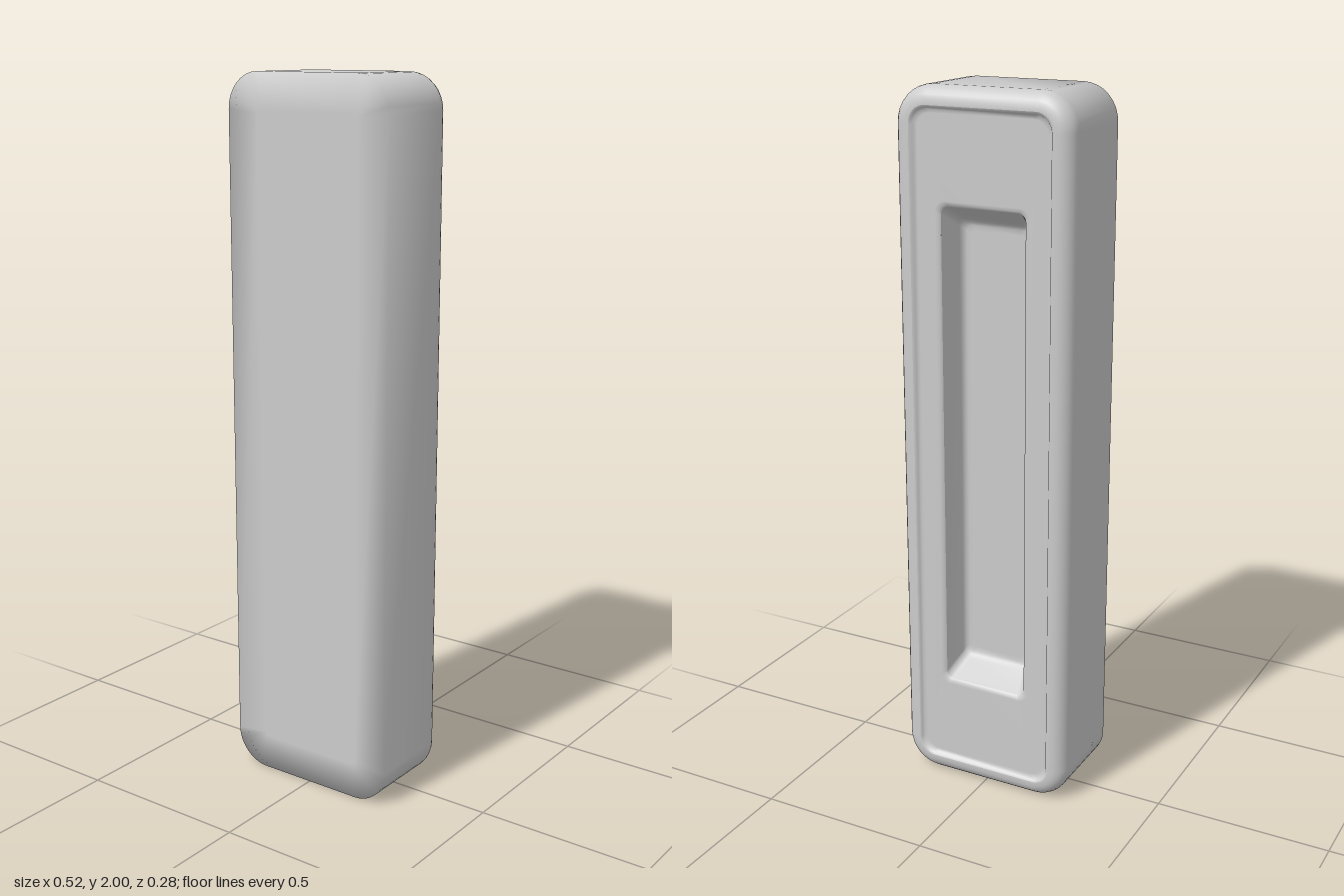
import * as THREE from 'three';

const material = new THREE.MeshStandardMaterial({ color: 0xcccccc });
const CORNER_STEPS = 8;

// Rounded rectangle loop, counter-clockwise seen from +z: half width, half height, corner radius, depth
function ring([hx, hy, r, z]) {
  const points = [];
  const centres = [[1, 1], [-1, 1], [-1, -1], [1, -1]];
  centres.forEach(([sx, sy], corner) => {
    for (let i = 0; i <= CORNER_STEPS; i++) {
      const a = (corner + i / CORNER_STEPS) * Math.PI / 2;
      points.push(sx * (hx - r) + r * Math.cos(a), 1 + sy * (hy - r) + r * Math.sin(a), z);
    }
  });
  return points;
}

// Skin a series of loops, optionally closing the first or last one with a flat cap
function loft(name, rings, capStart = false, capEnd = false) {
  const n = 4 * (CORNER_STEPS + 1);
  const positions = rings.flatMap(ring);
  const index = [];
  for (let k = 0; k < rings.length - 1; k++) {
    for (let i = 0; i < n; i++) {
      const j = (i + 1) % n;
      const a = k * n + i, b = k * n + j, c = a + n, d = b + n;
      index.push(a, c, d, a, d, b);
    }
  }
  const cap = (ringNumber, reversed) => {
    const centre = positions.length / 3;
    positions.push(0, 1, rings[ringNumber][3]);
    for (let i = 0; i < n; i++) {
      const a = ringNumber * n + i, b = ringNumber * n + (i + 1) % n;
      if (reversed) index.push(a, centre, b);
      else index.push(centre, a, b);
    }
  };
  if (capStart) cap(0, false);
  if (capEnd) cap(rings.length - 1, true);

  const geometry = new THREE.BufferGeometry();
  geometry.setAttribute('position', new THREE.Float32BufferAttribute(positions, 3));
  geometry.setIndex(index);
  geometry.computeVertexNormals();
  const mesh = new THREE.Mesh(geometry, material);
  mesh.name = name;
  return mesh;
}

// Quarter-round edge running from the side wall onto the back
function backFillet(radius, steps) {
  const loops = [];
  for (let i = 0; i <= steps; i++) {
    const a = (i / steps) * Math.PI / 2;
    const inset = radius * (1 - Math.cos(a));
    loops.push([0.26 - inset, 1 - inset, 0.1 - inset, -0.14 + radius * (1 - Math.sin(a))]);
  }
  return loops;
}

export function createModel() {
  const group = new THREE.Group();
  group.name = 'recessedPull';

  // Flat front, side walls and rounded back edge
  group.add(loft('body', [
    [0.16, 0.9, 0.01, 0.14],
    [0.26, 1, 0.1, 0.14],
    ...backFillet(0.045, 6),
    [0.21, 0.95, 0.05, -0.14],
  ], true));

  // Back panel, set slightly below the surrounding rim
  group.add(loft('backPanel', [
    [0.21, 0.95, 0.05, -0.14],
    [0.204, 0.944, 0.046, -0.137],
    [0.2, 0.94, 0.043, -0.13],
    [0.19, 0.93, 0.04, -0.129],
    [0.14, 0.705, 0.03, -0.129],
    [0.13, 0.695, 0.025, -0.127],
    [0.125, 0.69, 0.022, -0.122],
  ]));

  // Tapered finger pocket with a softened floor edge
  group.add(loft('pocket', [
    [0.125, 0.69, 0.022, -0.122],
    [0.108, 0.65, 0.022, -0.055],
    [0.103, 0.64, 0.021, -0.045],
    [0.094, 0.63, 0.02, -0.04],
    [0.08, 0.615, 0.015, -0.04],
  ], false, true));

  return group;
}
